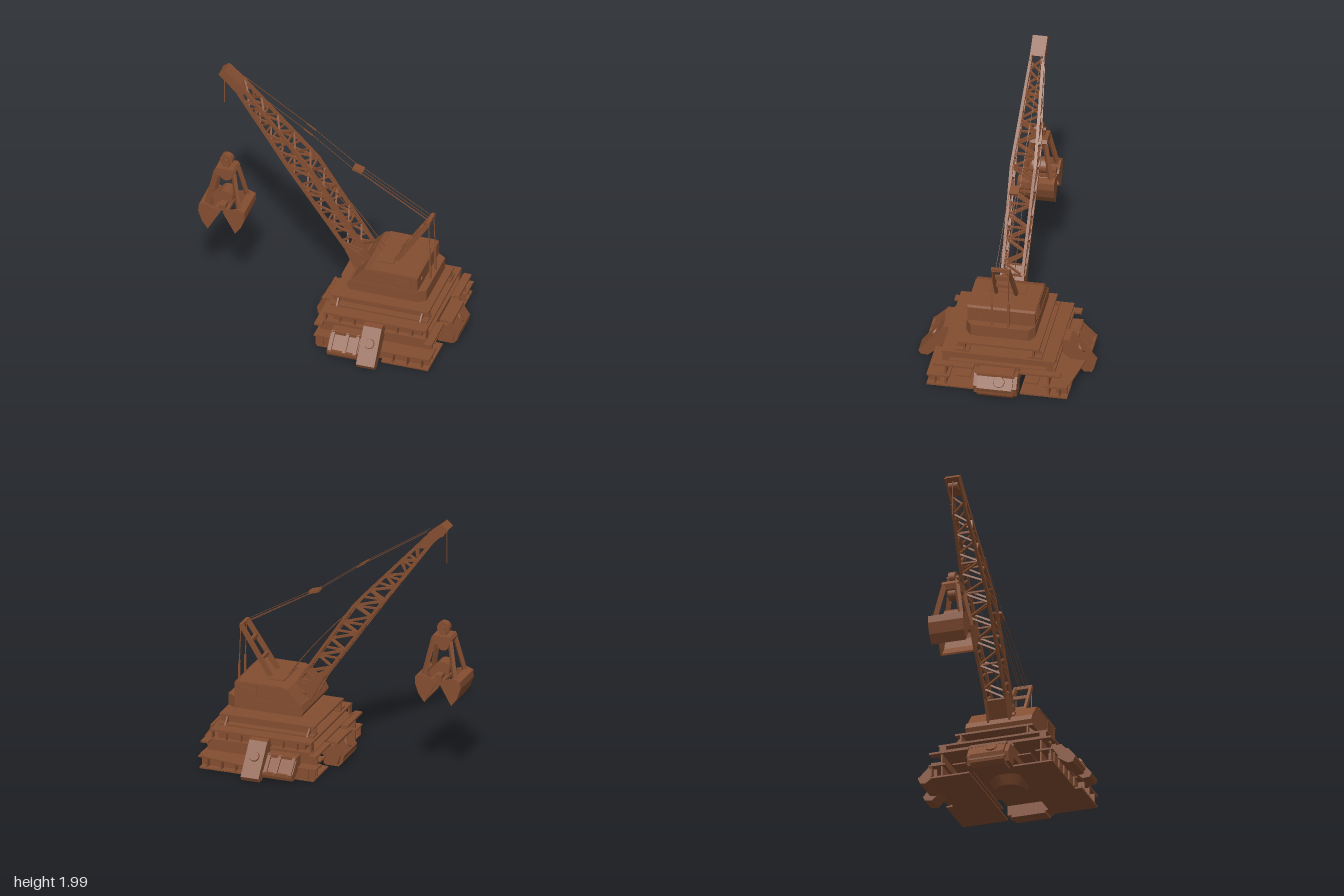
import * as THREE from 'three';

const brown = new THREE.MeshStandardMaterial({ color: 0x834d30 });
brown.name = 'rustyBrown';

export function createModel() {
  const root = new THREE.Group();
  root.name = 'grabCrane';
  let target = root;
  const section = (name) => {
    target = new THREE.Group();
    target.name = name;
    root.add(target);
    return target;
  };
  const add = (name, geo) => {
    const m = new THREE.Mesh(geo, brown);
    m.name = name;
    target.add(m);
    return m;
  };
  // box given by its min and max on each axis
  const box = (name, x0, x1, y0, y1, z0, z1) => {
    const m = add(name, new THREE.BoxGeometry(x1 - x0, y1 - y0, z1 - z0));
    m.position.set((x0 + x1) / 2, (y0 + y1) / 2, (z0 + z1) / 2);
    return m;
  };
  // square bar between two points of the current section
  const up = new THREE.Vector3(0, 1, 0);
  const bar = (name, a, b, w, d = w) => {
    const A = new THREE.Vector3(...a), B = new THREE.Vector3(...b);
    const m = add(name, new THREE.BoxGeometry(w, d, A.distanceTo(B)));
    m.quaternion.setFromRotationMatrix(new THREE.Matrix4().lookAt(B, A, up));
    m.position.copy(A).add(B).multiplyScalar(0.5);
    return m;
  };
  const prism = (pts, depth) => new THREE.ExtrudeGeometry(
    new THREE.Shape(pts.map((p) => new THREE.Vector2(...p))), { depth, bevelEnabled: false });
  // (x, y) outline extruded from z0 to z1
  const slabZ = (name, pts, z0, z1) => add(name, prism(pts, z1 - z0).translate(0, 0, z0));
  // (z, y) outline extruded from x0 to x1
  const slabX = (name, pts, x0, x1) => add(name, prism(pts, x1 - x0).rotateY(-Math.PI / 2).translate(x1, 0, 0));
  // (x, z) outline extruded from y0 to y1
  const slabY = (name, pts, y0, y1) => add(name, prism(pts, y1 - y0).rotateX(Math.PI / 2).translate(0, y1, 0));
  const drumZ = (name, x, y, z, r, len) => {
    const m = add(name, new THREE.CylinderGeometry(r, r, len, 20).rotateX(Math.PI / 2));
    m.position.set(x, y, z);
    return m;
  };

  // Undercarriage: stacked beams running along x
  section('undercarriage');
  box('coreBox', 0.06, 0.84, 0.1, 0.2, -0.16, 0.16);
  add('lowerHub', new THREE.CylinderGeometry(0.15, 0.11, 0.07, 28)).position.set(0.455, 0.065, 0);
  box('middleDeck', 0.05, 0.84, 0.19, 0.21, -0.42, 0.42);
  box('deckSlab', 0.12, 0.8, 0.21, 0.27, -0.38, 0.38);
  box('upperDeck', 0.06, 0.84, 0.27, 0.285, -0.42, 0.42);
  box('topPlate', 0.08, 0.82, 0.35, 0.365, -0.3, 0.3);
  for (const s of [-1, 1]) {
    const zr = (a, b) => (s > 0 ? [a, b] : [-b, -a]);
    box('bottomPlate', 0.02, 0.89, 0.008, 0.02, ...zr(0.17, 0.47));
    box('bottomEdge', 0.53, 0.89, 0.008, 0.02, ...zr(0.47, 0.52));
    box('sideFlange', 0, 0.9, 0.095, 0.107, ...zr(0.35, 0.475));
    box('sideFlangeEdge', 0.53, 0.9, 0.095, 0.107, ...zr(0.475, 0.52));
    for (const x of [0, 0.84]) box('deckEnd', x, x + 0.06, 0.19, 0.205, ...zr(0.17, 0.47));
    box('innerFlange', 0.03, 0.87, 0.095, 0.105, ...zr(0.2, 0.3));
    box('outerWeb', 0.01, 0.89, 0.02, 0.095, ...zr(0.455, 0.465));
    box('innerWeb', 0.02, 0.88, 0.02, 0.19, ...zr(0.375, 0.387));
    box('upperBeam', 0.08, 0.82, 0.295, 0.36, ...zr(0.25, 0.262));
    box('upperFlange', 0.08, 0.82, 0.285, 0.297, ...zr(0.22, 0.32));
    for (let i = 0; i < 8; i++) {
      const x = 0.06 + i * 0.11;
      box('deckPost', x, x + 0.012, 0.2, 0.275, ...zr(0.36, 0.41));
      box('lowerStiffener', x, x + 0.01, 0.02, 0.1, ...zr(0.43, x > 0.53 ? 0.515 : 0.475));
    }
    for (const x of [0.12, 0.76]) slabX('gusset', [[s * 0.26, 0.355], [s * 0.26, 0.29], [s * 0.33, 0.29]], x, x + 0.012);
    // Sloping outrigger leg with a round boss
    slabX('outriggerLeg', [[0.38, 0.2], [0.42, 0.275], [0.47, 0.27], [0.65, 0.045], [0.635, 0.015], [0.58, 0.01]]
      .map(([z, y]) => [s * z, y]), 0.38, 0.52);
    const boss = add('legBoss', new THREE.CylinderGeometry(0.035, 0.04, 0.02, 18));
    boss.position.set(0.45, 0.175, s * 0.548);
    boss.rotation.x = s * 0.9;
    // Tilted side locker with raised frame
    slabX('sideLocker', [[0.42, 0.19], [0.48, 0.19], [0.6, 0.07], [0.59, 0.04], [0.55, 0.035], [0.42, 0.12]]
      .map(([z, y]) => [s * z, y]), 0.14, 0.37);
    for (const t of [0.16, 0.27, 0.35]) bar('lockerFrame', [t, 0.185, s * 0.487], [t, 0.075, s * 0.598], 0.025);
    for (const [y, z] of [[0.18, 0.492], [0.078, 0.595]]) bar('lockerRail', [0.14, y, s * z], [0.37, y, s * z], 0.022);
  }
  // Slanted corner of the rear deck
  slabY('rearWing', [[0.52, -0.59], [0.85, -0.53], [0.9, -0.48], [0.9, -0.42], [0.52, -0.42]], 0.1, 0.11);

  // End pods, the second turned half round
  for (const turn of [0, Math.PI]) {
    const pod = section('endPod');
    pod.position.x = 0.455;
    pod.rotation.y = turn;
    slabZ('podBody', [[-0.545, 0.1], [-0.48, 0.195], [-0.395, 0.2], [-0.395, 0.01], [-0.5, 0.01], [-0.53, 0.04]], -0.13, 0.13);
    for (const z of [-0.16, 0.13]) {
      slabZ('podCheek', [[-0.52, 0.1], [-0.47, 0.18], [-0.395, 0.18], [-0.395, 0.03], [-0.5, 0.03]], z, z + 0.03);
    }
    const boss = add('podBoss', new THREE.CylinderGeometry(0.04, 0.045, 0.02, 18));
    boss.position.set(-0.512, 0.148, 0.03);
    boss.rotation.z = 0.97;
    bar('podRim', [-0.485, 0.188, -0.14], [-0.485, 0.188, 0.14], 0.02);
    bar('podRim', [-0.525, 0.07, -0.14], [-0.525, 0.07, 0.14], 0.025);
  }

  // Turntable
  section('turntable');
  for (const [r, y, h] of [[0.12, 0.285, 0.13], [0.155, 0.3, 0.03], [0.155, 0.365, 0.02], [0.14, 0.39, 0.025]]) {
    add('slewRing', new THREE.CylinderGeometry(r, r, h, 32)).position.set(0.46, y + h / 2, 0);
  }

  // Machinery house, narrowed at the rear
  section('machineryHouse');
  slabZ('houseBase', [[0.2, 0.41], [0.18, 0.45], [0.2, 0.495], [0.72, 0.495], [0.72, 0.41]], -0.255, 0.255);
  slabY('counterweight', [[0.72, -0.255], [0.78, -0.215], [0.78, 0.215], [0.72, 0.255]], 0.41, 0.5);
  slabZ('houseBody', [[0.21, 0.495], [0.31, 0.605], [0.36, 0.62], [0.7, 0.62], [0.72, 0.61], [0.72, 0.495]], -0.25, 0.25);
  box('roofHatch', 0.38, 0.5, 0.618, 0.626, -0.14, 0.14);
  for (const s of [-1, 1]) {
    for (let i = 0; i < 4; i++) {
      const y = 0.53 + i * 0.02;
      box('ventSlat', 0.55, 0.67, y, y + 0.01, s * 0.252 - 0.004, s * 0.252 + 0.004);
    }
    box('roofTrim', 0.36, 0.72, 0.6, 0.612, s * 0.252 - 0.004, s * 0.252 + 0.004);
  }
  const cap = add('rearPort', new THREE.CylinderGeometry(0.015, 0.015, 0.012, 14));
  cap.rotation.z = Math.PI / 2;
  cap.position.set(0.722, 0.55, 0.15);

  // Lattice boom: four chords through three stations, laced on every face
  section('boom');
  const stations = [
    { l: [0.13, 0.62], r: [0.28, 0.63], w: 0.085 },
    { l: [-0.33, 1.28], r: [-0.15, 1.28], w: 0.098 },
    { l: [-0.72, 1.82], r: [-0.7, 1.88], w: 0.055 },
  ];
  const corners = (t) => {
    const k = t < 0.5 ? 0 : 1, f = t * 2 - k, a = stations[k], b = stations[k + 1];
    const mix = (p, q) => p + (q - p) * f, w = mix(a.w, b.w) - 0.01;
    const L = [mix(a.l[0], b.l[0]), mix(a.l[1], b.l[1])], R = [mix(a.r[0], b.r[0]), mix(a.r[1], b.r[1])];
    return [[...L, w], [...R, w], [...R, -w], [...L, -w]];
  };
  const panels = 18;
  for (let i = 0; i < panels; i++) {
    const c0 = corners(i / panels), c1 = corners((i + 1) / panels);
    for (let j = 0; j < 4; j++) {
      const k = (j + 1) % 4;
      bar('chord', c0[j], c1[j], 0.022);
      if (i % 2) bar('lacing', c0[j], c1[k], 0.014);
      else bar('lacing', c0[k], c1[j], 0.014);
      if (i % 3 === 0) bar('crossMember', c0[j], c0[k], 0.014);
    }
  }
  for (const z of [-0.09, 0.075]) {
    slabZ('footPlate', [[0.08, 0.7], [0.12, 0.61], [0.19, 0.47], [0.3, 0.47], [0.33, 0.56], [0.28, 0.64], [0.24, 0.6]], z, z + 0.015);
  }
  bar('footCrossPlate', [0.14, 0.62, 0], [0.22, 0.5, 0], 0.15, 0.02);
  drumZ('footPin', 0.25, 0.53, 0, 0.025, 0.22);
  // Boom head with sheaves
  for (const z of [-0.055, 0.043]) {
    slabZ('headCheek', [[-0.87, 1.96], [-0.82, 2], [-0.68, 1.88], [-0.66, 1.83], [-0.72, 1.81]], z, z + 0.012);
  }
  slabZ('headCover', [[-0.865, 1.965], [-0.82, 2], [-0.7, 1.9], [-0.74, 1.87]], -0.05, 0.05);
  drumZ('headSheave', -0.8, 1.925, 0, 0.035, 0.07);

  // Rear A-frame and its stays
  section('rearFrame');
  for (const s of [-1, 1]) {
    bar('frameLeg', [0.5, 0.61, s * 0.075], [0.74, 0.98, s * 0.06], 0.02, 0.035);
    bar('backStay', [0.745, 0.98, s * 0.06], [0.755, 0.7, s * 0.06], 0.006);
    bar('backStayLower', [0.755, 0.7, s * 0.06], [0.757, 0.48, s * 0.06], 0.014);
  }
  for (const t of [0.35, 0.7, 1]) {
    const x = 0.5 + 0.24 * t, y = 0.61 + 0.37 * t;
    bar('frameTie', [x, y, -0.07], [x, y, 0.07], 0.025);
  }

  // Ropes
  section('ropes');
  for (const z of [-0.035, 0.035]) {
    bar('pendant', [-0.7, 1.92, z], [-0.18, 1.58, z], 0.003);
    bar('pendant', [-0.18, 1.58, z], [0.17, 1.32, z], 0.003);
    bar('luffingRope', [0.2, 1.31, z], [0.74, 0.99, z], 0.003);
    bar('luffingRope', [0.2, 1.3, z * 0.4], [0.74, 0.975, z * 0.4], 0.003);
    bar('pendantLink', [-0.22, 1.604, z], [-0.15, 1.557, z], 0.008);
  }
  bar('luffingBlock', [0.15, 1.325, 0], [0.225, 1.3, 0], 0.07, 0.02);
  const hoist = new THREE.CatmullRomCurve3([[-0.12, 1.23], [0.06, 1.04], [0.23, 0.84], [0.38, 0.64]].map(([x, y]) => new THREE.Vector3(x, y, 0)));
  for (const z of [-0.03, 0.03]) add('hoistRope', new THREE.TubeGeometry(hoist, 16, 0.003, 5)).position.z = z;
  bar('hangingRope', [-0.84, 1.96, 0], [-0.84, 1.68, 0], 0.005);

  // Clamshell grab
  const grab = section('grab');
  grab.position.x = -0.82;
  drumZ('topSheave', 0, 1.175, 0, 0.048, 0.05);
  drumZ('sheavePin', 0, 1.175, 0, 0.018, 0.09);
  slabZ('headBlock', [[-0.08, 1.1], [-0.065, 1.125], [0.065, 1.125], [0.08, 1.1], [0.065, 1.06], [-0.065, 1.06]], -0.065, 0.065);
  box('headNeck', -0.025, 0.025, 1.11, 1.16, -0.035, 0.035);
  drumZ('lowerSheave', 0, 1.045, 0, 0.045, 0.06);
  drumZ('centreDrum', 0, 0.86, 0, 0.06, 0.11);
  bar('hingeBeam', [0, 0.815, -0.12], [0, 0.815, 0.12], 0.05);
  for (const s of [-1, 1]) {
    for (const z of [-1, 1]) {
      bar('grabArm', [s * 0.065, 1.09, z * 0.05], [s * 0.12, 0.82, z * 0.1], 0.028, 0.03);
      slabZ('jawCheek', [[0.01, 0.785], [0.04, 0.805], [0.12, 0.835], [0.175, 0.815], [0.178, 0.76], [0.15, 0.68], [0.105, 0.617]]
        .map(([x, y]) => [s * x, y]), z * 0.127 - 0.008, z * 0.127 + 0.008);
    }
    slabZ('jawShell', [[0.12, 0.83], [0.175, 0.815], [0.178, 0.76], [0.15, 0.68], [0.105, 0.617], [0.1, 0.63], [0.138, 0.685], [0.163, 0.76], [0.16, 0.8], [0.12, 0.815]]
      .map(([x, y]) => [s * x, y]), -0.12, 0.12);
    bar('jawTie', [s * 0.04, 0.8, -0.12], [s * 0.04, 0.8, 0.12], 0.025);
  }
  return root;
}
